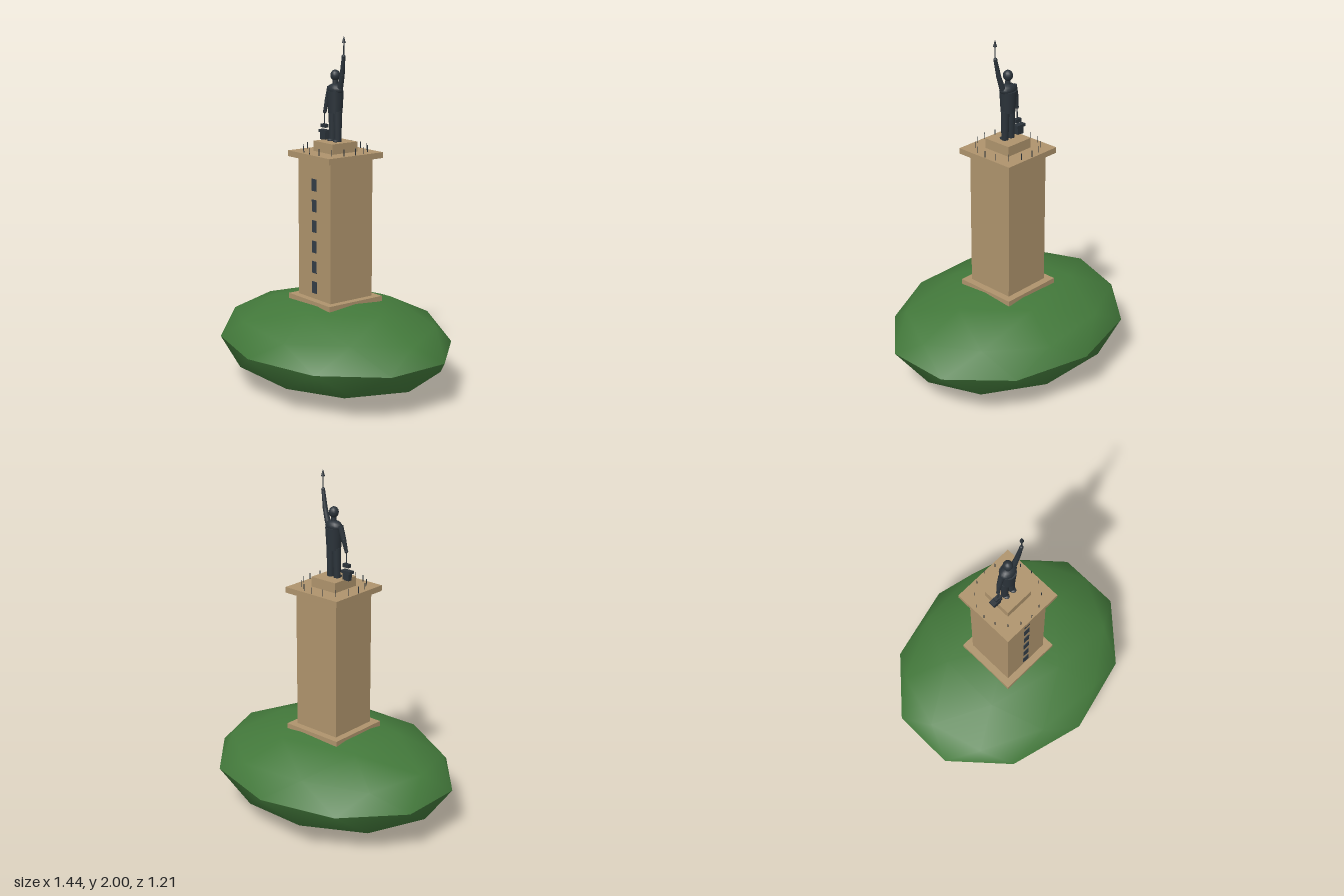
import * as THREE from 'three';
import { mergeVertices } from 'three/addons/utils/BufferGeometryUtils.js';

export function createModel() {
  const root = new THREE.Group();
  root.name = 'hilltopMonument';

  const material = (name, color) => {
    const m = new THREE.MeshStandardMaterial({ color });
    m.name = name;
    return m;
  };
  const grass = material('grassGreen', 0x43793b);
  const stone = material('sandstone', 0xae936c);
  const iron = material('darkIron', 0x2b333a);
  const glass = material('windowSlate', 0x333d46);

  const add = (parent, name, geometry, mat, x = 0, y = 0, z = 0) => {
    const mesh = new THREE.Mesh(geometry, mat);
    mesh.name = name;
    mesh.position.set(x, y, z);
    parent.add(mesh);
    return mesh;
  };
  // box given by its bottom and top heights
  const block = (parent, name, w, d, y0, y1, mat, x = 0, z = 0) =>
    add(parent, name, new THREE.BoxGeometry(w, y1 - y0, d), mat, x, (y0 + y1) / 2, z);
  // tapered rod between two points
  const rod = (parent, name, a, b, r0, r1, sides = 10) => {
    const p = new THREE.Vector3(...a), q = new THREE.Vector3(...b);
    const mesh = add(parent, name, new THREE.CylinderGeometry(r1, r0, p.distanceTo(q), sides), iron);
    mesh.position.copy(p).add(q).multiplyScalar(0.5);
    mesh.quaternion.setFromUnitVectors(new THREE.Vector3(0, 1, 0), q.sub(p).normalize());
    return mesh;
  };
  const ball = (parent, name, x, y, z, rx, ry = rx, rz = rx) => {
    const mesh = add(parent, name, new THREE.SphereGeometry(1, 14, 10), iron, x, y, z);
    mesh.scale.set(rx, ry, rz);
    return mesh;
  };

  // Hill: flattened icosphere with a vertex at each pole, creased at the equator
  const ico = new THREE.IcosahedronGeometry(1, 1);
  ico.rotateZ(-Math.atan(2 / (1 + Math.sqrt(5))));
  ico.scale(0.757, 0.267, 0.607);
  const src = ico.getAttribute('position').array;
  for (const [name, side] of [['hillTop', 1], ['hillUnderside', -1]]) {
    const points = [];
    for (let i = 0; i < src.length; i += 9) {
      if ((src[i + 1] + src[i + 4] + src[i + 7]) * side > 0) points.push(...src.slice(i, i + 9));
    }
    const half = new THREE.BufferGeometry();
    half.setAttribute('position', new THREE.Float32BufferAttribute(points, 3));
    const smooth = mergeVertices(half, 1e-4);
    smooth.computeVertexNormals();
    add(root, name, smooth, grass, 0, 0.267, 0);
  }

  // Tower
  const tower = new THREE.Group();
  tower.name = 'tower';
  root.add(tower);
  block(tower, 'basePlate', 0.376, 0.376, 0.5, 0.53, stone);
  block(tower, 'shaft', 0.294, 0.294, 0.52, 1.325, stone);
  block(tower, 'platform', 0.376, 0.376, 1.322, 1.355, stone);
  block(tower, 'pedestal', 0.174, 0.174, 1.355, 1.412, stone);
  for (let i = 0; i < 6; i++) {
    const y = 0.595 + i * 0.117;
    block(tower, 'window', 0.04, 0.006, y - 0.034, y + 0.034, glass, 0, 0.147);
  }

  // Ring of railing posts
  for (let i = 0; i < 16; i++) {
    const a = (i / 16) * Math.PI * 2;
    const x = 0.18 * Math.cos(a), z = 0.18 * Math.sin(a);
    rod(tower, 'railingPost', [x, 1.354, z], [x, 1.392, z], 0.0022, 0.0022, 6);
  }

  // Statue body
  const statue = new THREE.Group();
  statue.name = 'statue';
  root.add(statue);
  for (const s of [-1, 1]) {
    rod(statue, 'leg', [s * 0.024, 1.41, 0], [s * 0.022, 1.58, 0], 0.02, 0.024, 12);
    ball(statue, 'foot', s * 0.025, 1.416, 0.008, 0.018, 0.01, 0.026);
  }
  rod(statue, 'torso', [0, 1.57, 0], [0, 1.692, 0], 0.04, 0.047, 16);
  ball(statue, 'shoulders', 0, 1.7, 0, 0.054, 0.034, 0.038);
  rod(statue, 'neck', [0, 1.72, 0], [0, 1.76, 0], 0.016, 0.014);
  ball(statue, 'head', 0, 1.778, 0, 0.027, 0.031, 0.028);

  // Lowered arm with hammer
  rod(statue, 'rightUpperArm', [-0.046, 1.71, 0], [-0.068, 1.635, 0.004], 0.017, 0.014);
  ball(statue, 'rightElbow', -0.068, 1.635, 0.004, 0.014);
  rod(statue, 'rightForearm', [-0.068, 1.635, 0.004], [-0.081, 1.572, 0.01], 0.014, 0.01);
  ball(statue, 'rightHand', -0.082, 1.57, 0.01, 0.011);
  rod(statue, 'hammerHandle', [-0.083, 1.575, 0.01], [-0.085, 1.49, 0.01], 0.003, 0.003, 8);
  block(statue, 'hammerHead', 0.042, 0.022, 1.48, 1.5, iron, -0.085, 0.01);

  // Anvil
  block(statue, 'anvilBody', 0.046, 0.026, 1.41, 1.452, iron, -0.093, 0.004);
  block(statue, 'anvilTop', 0.064, 0.034, 1.45, 1.466, iron, -0.095, 0.004);

  // Raised arm with spear
  rod(statue, 'leftUpperArm', [0.042, 1.71, 0], [0.066, 1.785, 0.004], 0.017, 0.014);
  ball(statue, 'leftElbow', 0.066, 1.785, 0.004, 0.014);
  rod(statue, 'leftForearm', [0.066, 1.785, 0.004], [0.086, 1.885, 0.01], 0.014, 0.01);
  ball(statue, 'leftHand', 0.086, 1.887, 0.01, 0.011);
  rod(statue, 'spearShaft', [0.087, 1.87, 0.01], [0.088, 1.965, 0.01], 0.003, 0.003, 8);
  rod(statue, 'spearTip', [0.088, 1.96, 0.01], [0.088, 2, 0.01], 0.011, 0, 10);

  return root;
}
